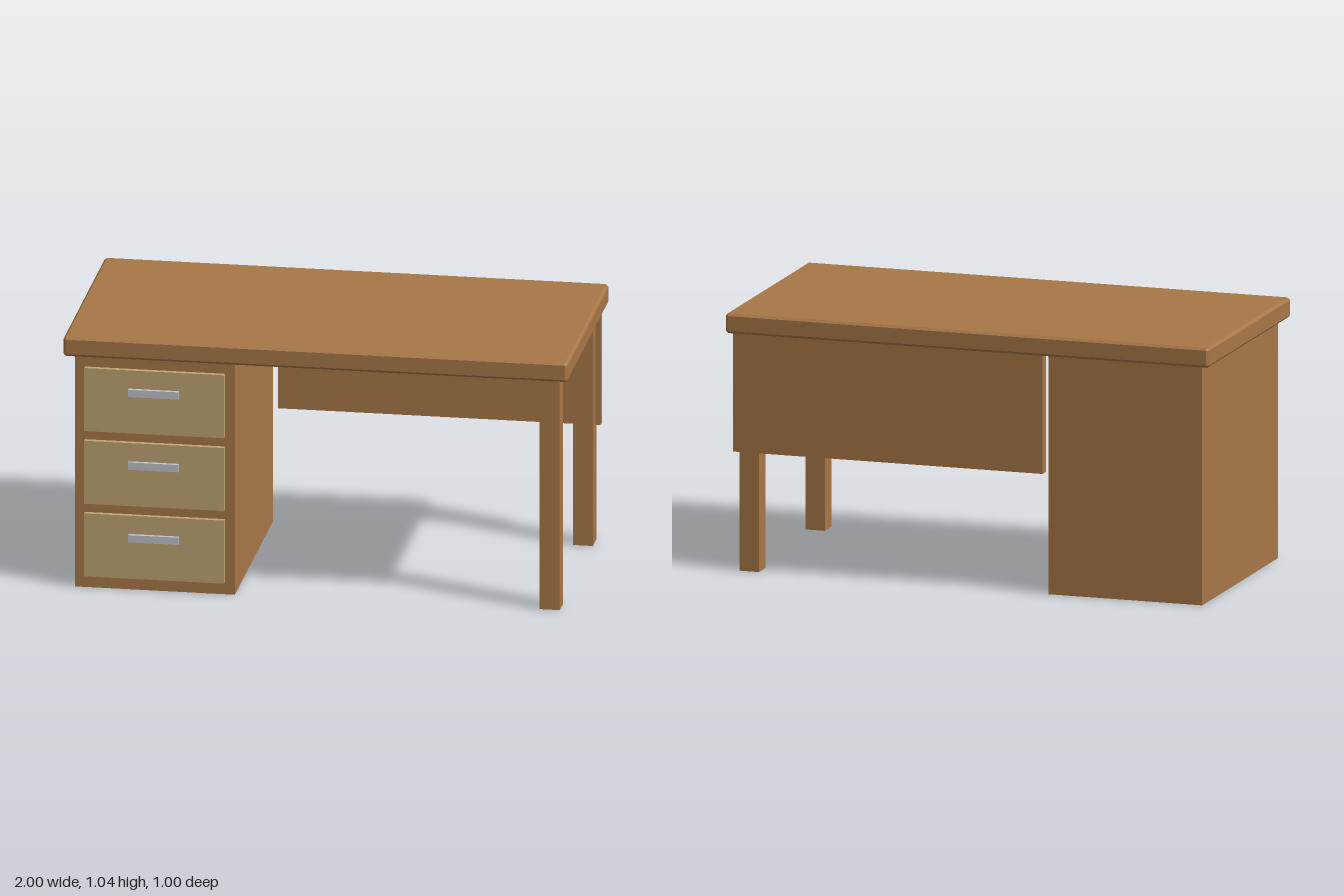
import * as THREE from 'three';
import { ConvexGeometry } from 'three/addons/geometries/ConvexGeometry.js';

const material = (name, color) => {
  const m = new THREE.MeshStandardMaterial({ color });
  m.name = name;
  return m;
};

// Box with every edge and corner chamfered
function chamferedBox(w, h, d, c) {
  const points = [];
  for (const sx of [-1, 1]) for (const sy of [-1, 1]) for (const sz of [-1, 1]) {
    const x = w / 2, y = h / 2, z = d / 2;
    points.push(
      new THREE.Vector3(sx * x, sy * (y - c), sz * (z - c)),
      new THREE.Vector3(sx * (x - c), sy * y, sz * (z - c)),
      new THREE.Vector3(sx * (x - c), sy * (y - c), sz * z)
    );
  }
  return new ConvexGeometry(points);
}

export function createModel() {
  const wood = material('wood', 0xa87747);
  const drawerWood = material('pale drawer wood', 0xbfa374);
  const metal = material('handle metal', 0xc0c4cc);

  const desk = new THREE.Group();
  desk.name = 'desk';

  // Box given by its limits on each axis
  const addBox = (name, mat, [x0, x1], [y0, y1], [z0, z1], parent = desk) => {
    const mesh = new THREE.Mesh(new THREE.BoxGeometry(x1 - x0, y1 - y0, z1 - z0), mat);
    mesh.position.set((x0 + x1) / 2, (y0 + y1) / 2, (z0 + z1) / 2);
    mesh.name = name;
    parent.add(mesh);
  };

  // Desktop
  const top = new THREE.Mesh(chamferedBox(2, 0.08, 1, 0.01), wood);
  top.position.y = 1.0;
  top.name = 'desktop';
  desk.add(top);

  // Drawer cabinet and its three drawers
  addBox('cabinet', wood, [-0.96, -0.325], [0, 0.96], [-0.46, 0.46]);
  for (let i = 0; i < 3; i++) {
    const y = 0.05 + i * 0.3;
    const drawer = new THREE.Group();
    drawer.name = 'drawer';
    addBox('drawerFront', drawerWood, [-0.92, -0.365], [y, y + 0.26], [0.46, 0.48], drawer);
    addBox('drawerHandle', metal, [-0.743, -0.543], [y + 0.155, y + 0.185], [0.48, 0.495], drawer);
    desk.add(drawer);
  }

  // Legs on the open side
  addBox('frontLeg', wood, [0.88, 0.96], [0, 0.96], [0.36, 0.44]);
  addBox('backLeg', wood, [0.88, 0.96], [0, 0.96], [-0.44, -0.36]);

  // Modesty panel across the back
  addBox('backPanel', wood, [-0.3, 0.98], [0.48, 0.96], [-0.46, -0.42]);

  return desk;
}
